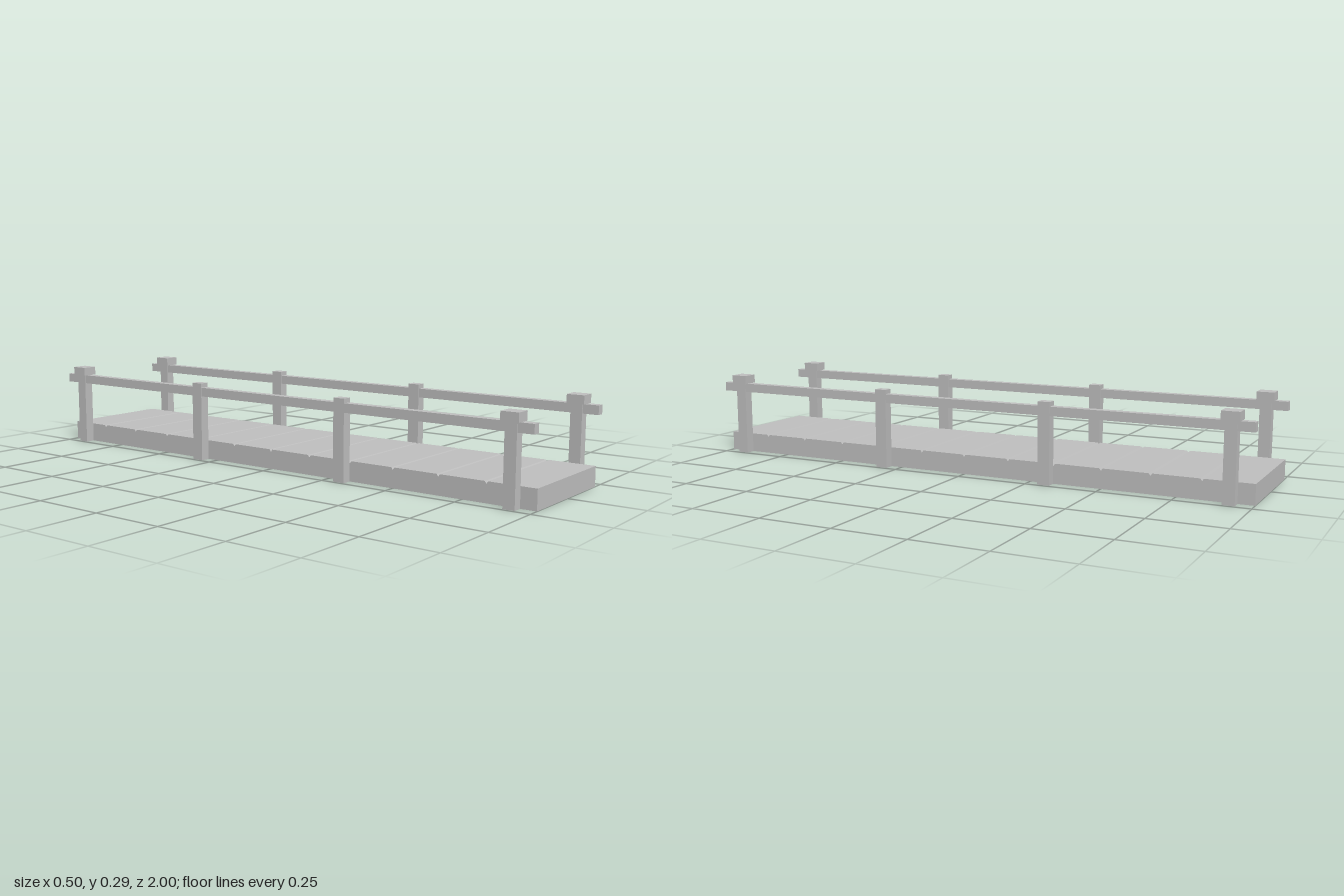
import * as THREE from 'three';

export function createModel() {
  const bridge = new THREE.Group();
  bridge.name = 'footbridge';
  const grey = new THREE.MeshStandardMaterial({ color: 0xbfbfbf });
  grey.name = 'plain grey';

  const box = (name, w, h, d, x, y, z, parent) => {
    const mesh = new THREE.Mesh(new THREE.BoxGeometry(w, h, d), grey);
    mesh.name = name;
    mesh.position.set(x, y, z);
    parent.add(mesh);
  };

  // Deck: a long slab with a small V groove between each pair of planks
  const planks = 12, top = 0.068, groove = 0.008, half = 0.006;
  const side = new THREE.Shape();
  side.moveTo(-1, 0);
  side.lineTo(1, 0);
  side.lineTo(1, top);
  for (let i = planks - 1; i > 0; i--) {
    const z = -1 + (2 * i) / planks;
    side.lineTo(z + half, top);
    side.lineTo(z, top - groove);
    side.lineTo(z - half, top);
  }
  side.lineTo(-1, top);
  const width = 0.414;
  const deckShape = new THREE.ExtrudeGeometry(side, { depth: width, bevelEnabled: false });
  deckShape.translate(0, 0, -width / 2).rotateY(Math.PI / 2);
  const deck = new THREE.Mesh(deckShape, grey);
  deck.name = 'plankDeck';
  bridge.add(deck);

  // Railings, mirrored left and right
  for (const s of [1, -1]) {
    const railing = new THREE.Group();
    railing.name = s > 0 ? 'leftRailing' : 'rightRailing';
    const x = s * 0.225;
    box('handrail', 0.028, 0.031, 2, s * 0.226, 0.2465, 0, railing);
    for (const e of [1, -1]) {
      // End post with its cap, and the taller middle post
      box('endPost', 0.034, 0.262, 0.04, x, 0.131, e * 0.926, railing);
      box('postCap', 0.054, 0.03, 0.06, x, 0.277, e * 0.926, railing);
      box('middlePost', 0.034, 0.277, 0.042, x, 0.1385, e * 0.312, railing);
    }
    bridge.add(railing);
  }
  return bridge;
}
